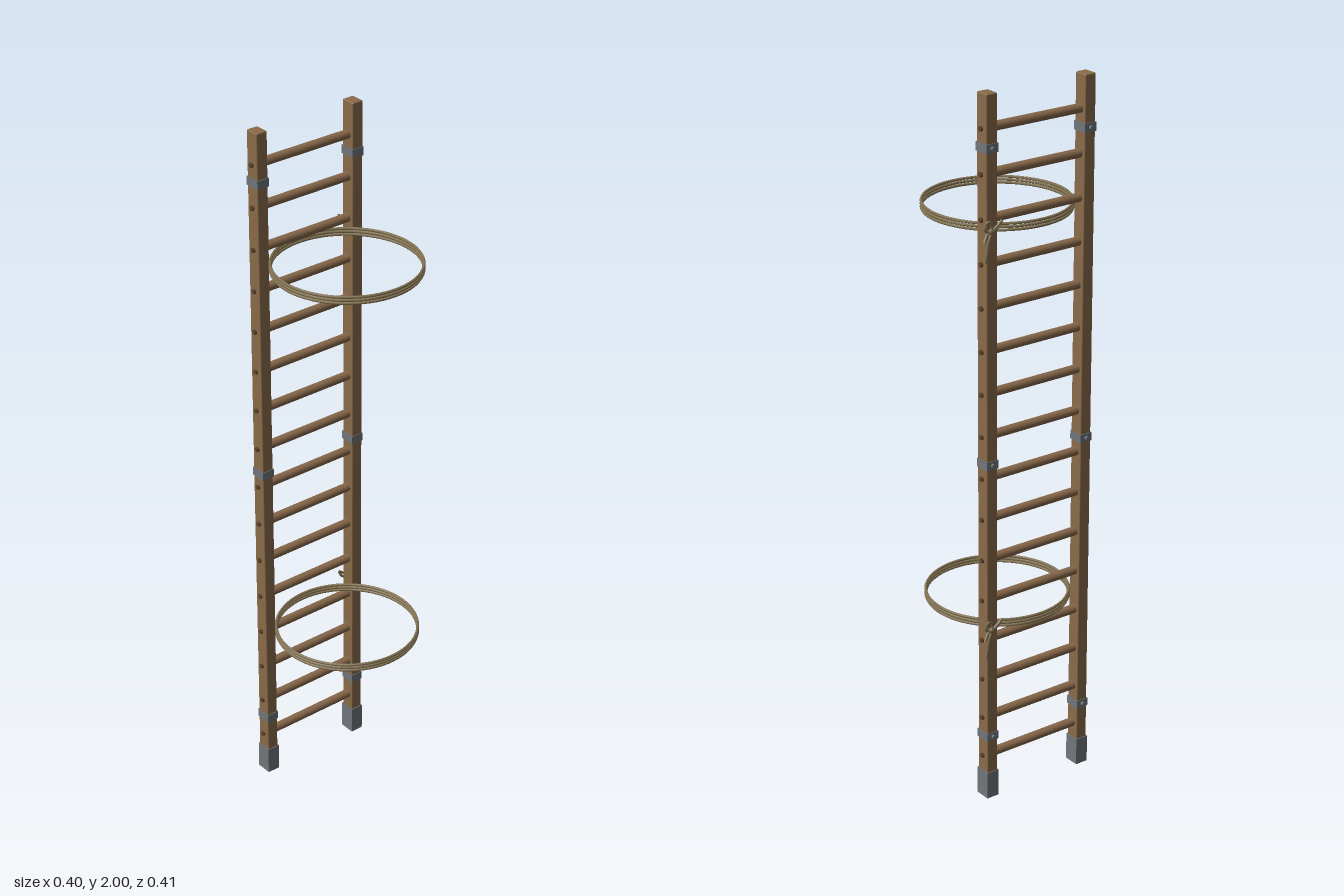
import * as THREE from 'three';
import { RoundedBoxGeometry } from 'three/addons/geometries/RoundedBoxGeometry.js';

const RAIL_X = 0.155, RAIL_Z = -0.168;
const paint = (color, flatShading = false) => new THREE.MeshStandardMaterial({ color, flatShading });

export function createModel() {
  const model = new THREE.Group();
  const wood = paint(0x8a6b49), rungWood = paint(0x87684a), pegWood = paint(0x5c442e);
  const steel = paint(0x70767a), rope = paint(0x857553);

  const add = (parent, name, geometry, material, x = 0, y = 0, z = 0) => {
    const mesh = new THREE.Mesh(geometry, material);
    mesh.name = name;
    mesh.position.set(x, y, z);
    parent.add(mesh);
    return mesh;
  };

  // Open rectangular sleeve that wraps a rail
  const sleeve = (w, d, h, t) => {
    const rect = (Cls, a, b) => new Cls([[-a, -b], [a, -b], [a, b], [-a, b]].map(p => new THREE.Vector2(...p)));
    const shape = rect(THREE.Shape, w / 2, d / 2);
    shape.holes.push(rect(THREE.Path, w / 2 - t, d / 2 - t));
    return new THREE.ExtrudeGeometry(shape, { depth: h, bevelEnabled: false }).rotateX(-Math.PI / 2).translate(0, -h / 2, 0);
  };

  // Side rails with metal feet and clamps
  for (const side of [-1, 1]) {
    const rail = new THREE.Group();
    rail.name = side > 0 ? 'leftRail' : 'rightRail';
    rail.position.set(side * RAIL_X, 0, RAIL_Z);
    add(rail, 'railPost', new RoundedBoxGeometry(0.034, 1.99, 0.041, 2, 0.003), wood, 0, 1.005, 0);
    add(rail, 'footCap', new THREE.BoxGeometry(0.038, 0.08, 0.046), steel, 0, 0.04, 0);
    for (const y of [0.19, 1.0, 1.86]) {
      add(rail, 'clampBand', sleeve(0.037, 0.045, 0.024, 0.003), steel, 0, y, 0);
      add(rail, 'clampBolt', new THREE.CylinderGeometry(0.006, 0.006, 0.008, 6).rotateX(Math.PI / 2), steel, 0, y, -0.026);
    }
    model.add(rail);
  }

  // Rungs, with a peg showing on the outer face of each rail
  const rungGeometry = new THREE.CylinderGeometry(0.0125, 0.0125, 0.3, 14).rotateZ(Math.PI / 2);
  const pegGeometry = new THREE.CylinderGeometry(0.007, 0.007, 0.012, 10).rotateZ(Math.PI / 2);
  for (let i = 0; i < 16; i++) {
    const y = 0.127 + i * 0.1188;
    add(model, 'rung', rungGeometry, rungWood, 0, y, RAIL_Z);
    for (const side of [-1, 1]) add(model, 'rungPeg', pegGeometry, pegWood, side * 0.172, y, RAIL_Z);
  }

  // Rope lashings: stacked hoops and a knot with loose tails behind the left rail
  const cord = (points, closed, r = 0.0035) => new THREE.TubeGeometry(
    new THREE.CatmullRomCurve3(points.map(p => new THREE.Vector3(...p)), closed), 32, r, 6, closed);
  for (const y of [0.515, 1.64]) {
    const lashing = new THREE.Group();
    lashing.name = 'ropeLashing';
    lashing.position.y = y;
    for (const dy of [-0.0085, 0, 0.0085])
      add(lashing, 'ropeHoop', new THREE.TorusGeometry(0.1975, 0.0038, 6, 72).rotateX(Math.PI / 2), rope, 0, dy, 0);
    add(lashing, 'knot', new THREE.SphereGeometry(0.009, 10, 8).scale(1.2, 1, 0.7), rope, 0.16, 0.005, -0.194);
    add(lashing, 'knotLoop', cord([[0.16, 0.005, -0.194], [0.14, 0.022, -0.197],
      [0.129, 0.03, -0.195], [0.138, 0.012, -0.192]], true), rope);
    add(lashing, 'knotBow', cord([[0.16, 0.005, -0.194], [0.166, 0.03, -0.197],
      [0.178, 0.033, -0.199], [0.181, 0.012, -0.195]], true), rope);
    add(lashing, 'longTail', cord([[0.16, 0.005, -0.194], [0.17, -0.02, -0.195],
      [0.172, -0.05, -0.191], [0.175, -0.078, -0.188]], false), rope);
    add(lashing, 'shortTail', cord([[0.16, 0.005, -0.194], [0.175, 0.0, -0.196],
      [0.184, -0.01, -0.199], [0.189, -0.02, -0.202]], false), rope);
    model.add(lashing);
  }
  return model;
}
